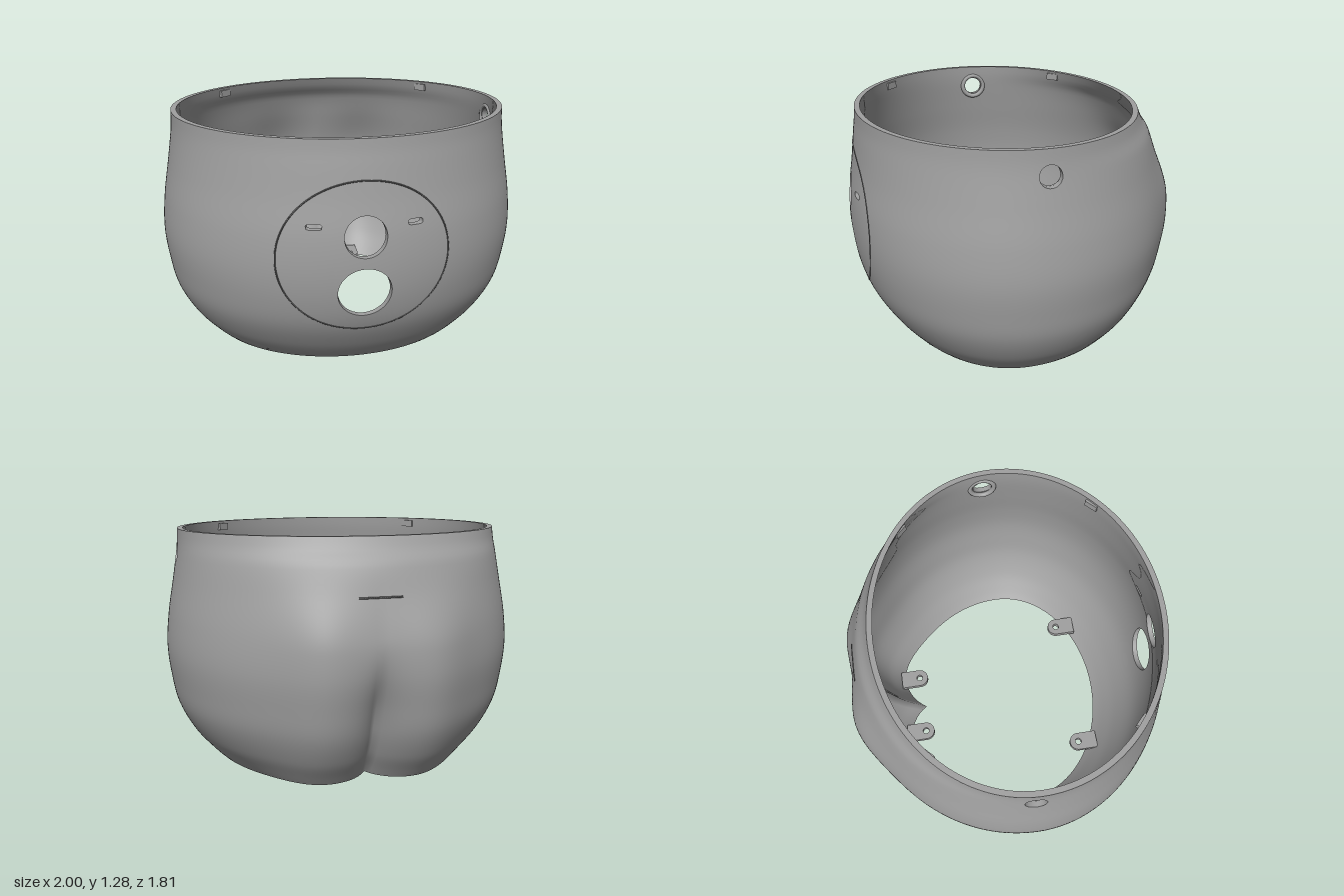
import * as THREE from 'three';

const H = 1.28, NU = 192, NV = 60, DU = Math.PI * 2 / NU, DV = H / NV, WALL = 0.03, CZ = 0.05;

// Body profile rows: height, half width, front z, back z
const PROFILE = [
  [0, 0.75, 0.63, -0.68], [0.04, 0.79, 0.67, -0.705], [0.15, 0.88, 0.755, -0.775],
  [0.3, 0.955, 0.84, -0.84], [0.45, 0.985, 0.885, -0.87], [0.62, 1.0, 0.905, -0.888],
  [0.8, 0.985, 0.9, -0.875], [1.0, 0.95, 0.87, -0.83], [1.15, 0.925, 0.85, -0.785],
  [1.22, 0.917, 0.84, -0.735], [1.28, 0.914, 0.835, -0.705],
];

// Smooth cubic interpolation of one profile column
function profile(y, k) {
  const n = PROFILE.length;
  let i = 0;
  while (i < n - 2 && y > PROFILE[i + 1][0]) i++;
  const slope = (j) => {
    const a = PROFILE[Math.max(j - 1, 0)], b = PROFILE[Math.min(j + 1, n - 1)];
    return (b[k] - a[k]) / (b[0] - a[0]);
  };
  const a = PROFILE[i], b = PROFILE[i + 1], h = b[0] - a[0], t = (y - a[0]) / h;
  const t2 = t * t, t3 = t2 * t;
  return (2 * t3 - 3 * t2 + 1) * a[k] + (t3 - 2 * t2 + t) * h * slope(i)
    + (3 * t2 - 2 * t3) * b[k] + (t3 - t2) * h * slope(i + 1);
}

// Point on the wall: angle from the front towards +x, height, inward offset
function wallPoint(th, y, inset) {
  const c = Math.cos(th), x = profile(y, 1) * Math.sin(th);
  let z = CZ + (c > 0 ? profile(y, 2) - CZ : CZ - profile(y, 3)) * c;
  if (c < 0) {
    // Two rear lobes with a sharp crease between them
    const ax = Math.abs(x);
    const lobe = 0.05 * (1 - THREE.MathUtils.smoothstep(y, 0.75, 1.15));
    const crease = 0.12 * (1 - THREE.MathUtils.smoothstep(y, 0.3, 0.8));
    z += crease * Math.exp(-ax / 0.085) - lobe * Math.exp(-(((ax - 0.3) / 0.2) ** 2));
  }
  const r = Math.hypot(x, z - CZ), s = 1 - inset / r;
  return [x * s, y, CZ + (z - CZ) * s];
}

// Openings: centre angle and height, half sizes, corner power (1 = ellipse)
const HOLES = [
  { th: 0, y: 0.815, a: 0.106, b: 0.105, p: 1 },
  { th: 0, y: 0.52, a: 0.136, b: 0.135, p: 1 },
  ...[-1, 1].map((s) => ({ th: s * 0.255, y: 0.87, a: 0.041, b: 0.015, p: 0.6 })),
  ...[-1, 1].map((s) => ({ th: s * (Math.PI / 2 + 0.045), y: 1.15, a: 0.068, b: 0.055, p: 1 })),
];
for (const h of HOLES) {
  h.c0 = Math.floor((h.th - h.a) / DU - 0.4); h.c1 = Math.ceil((h.th + h.a) / DU + 0.4);
  h.r0 = Math.floor((h.y - h.b) / DV - 0.4); h.r1 = Math.ceil((h.y + h.b) / DV + 0.4);
}

function makeGeometry(pos, index) {
  const g = new THREE.BufferGeometry();
  g.setAttribute('position', new THREE.Float32BufferAttribute(pos, 3));
  g.setIndex(index);
  g.computeVertexNormals();
  return g;
}

// One skin of the wall, with the openings cut and fitted into the grid
function skin(inset) {
  const pos = [], index = [], rings = [];
  const id = (u, v) => v * NU + ((u % NU) + NU) % NU;
  const quad = (a, b, c, d) => (inset ? index.push(a, c, b, a, d, c) : index.push(a, b, c, a, c, d));
  for (let v = 0; v <= NV; v++)
    for (let u = 0; u < NU; u++) pos.push(...wallPoint(u * DU, v * DV, inset));
  const inHole = (u, v) => HOLES.some((h) => v >= h.r0 && v < h.r1
    && [u, u - NU].some((w) => w >= h.c0 && w < h.c1));
  for (let v = 0; v < NV; v++)
    for (let u = 0; u < NU; u++)
      if (!inHole(u, v)) quad(id(u, v), id(u + 1, v), id(u + 1, v + 1), id(u, v + 1));
  for (const h of HOLES) {
    const edge = [];
    for (let u = h.c0; u < h.c1; u++) edge.push([u, h.r0]);
    for (let v = h.r0; v < h.r1; v++) edge.push([h.c1, v]);
    for (let u = h.c1; u > h.c0; u--) edge.push([u, h.r1]);
    for (let v = h.r1; v > h.r0; v--) edge.push([h.c0, v]);
    const n = edge.length, K = 3;
    let last = edge.map(([u, v]) => id(u, v));
    const soft = (t) => Math.sign(t) * Math.abs(t) ** h.p;
    for (let k = 1; k <= K; k++) {
      const now = edge.map(([u, v]) => {
        const th = u * DU, y = v * DV;
        const f = Math.atan2((y - h.y) / (h.r1 - h.r0) / DV, (th - h.th) / (h.c1 - h.c0) / DU);
        const ht = h.th + h.a * soft(Math.cos(f)), hy = h.y + h.b * soft(Math.sin(f));
        pos.push(...wallPoint(th + (ht - th) * k / K, y + (hy - y) * k / K, inset));
        return pos.length / 3 - 1;
      });
      for (let i = 0; i < n; i++) quad(last[i], last[(i + 1) % n], now[(i + 1) % n], now[i]);
      last = now;
    }
    rings.push(last.map((i) => pos.slice(i * 3, i * 3 + 3)));
  }
  return { geometry: makeGeometry(pos, index), rings };
}

// Closed band between two loops of points
function band(a, b) {
  const n = a.length, index = [];
  for (let i = 0; i < n; i++) {
    const j = (i + 1) % n;
    index.push(i, j, n + j, i, n + j, n + i);
  }
  return makeGeometry([...a, ...b].flat(), index);
}

export function createModel() {
  const root = new THREE.Group();
  root.name = 'shellHousing';
  const grey = new THREE.MeshStandardMaterial({ color: 0xa0a0a0 });
  grey.name = 'grey';
  const seamGrey = new THREE.MeshStandardMaterial({ color: 0x606060 });
  seamGrey.name = 'seamGrey';
  const add = (name, geometry, material = grey) => {
    const m = new THREE.Mesh(geometry, material);
    m.name = name;
    root.add(m);
    return m;
  };

  // Hollow wall, its rims and the edges of its openings
  const outer = skin(0), inner = skin(WALL);
  add('outerWall', outer.geometry);
  add('innerWall', inner.geometry);
  const loop = (y, inset) => Array.from({ length: NU }, (_, u) => wallPoint(u * DU, y, inset));
  add('topRim', band(loop(H, 0), loop(H, WALL)));
  add('bottomRim', band(loop(0, WALL), loop(0, 0)));
  outer.rings.forEach((ring, i) => add('openingEdge', band(ring, inner.rings[i])));

  // Round seam of the front panel
  const seam = Array.from({ length: 48 }, (_, i) => {
    const t = i / 48 * Math.PI * 2, y = 0.69 + 0.395 * Math.sin(t);
    return new THREE.Vector3(...wallPoint(Math.asin(0.43 * Math.cos(t) / profile(y, 1)), y, 0.001));
  });
  add('panelSeam', new THREE.TubeGeometry(new THREE.CatmullRomCurve3(seam, true), 96, 0.004, 5, true), seamGrey);

  // Thin slit across the back
  const slit = Array.from({ length: 9 }, (_, i) =>
    new THREE.Vector3(...wallPoint(Math.PI + (i / 4 - 1) * 0.115, 1.0, 0.001)));
  add('rearSlit', new THREE.TubeGeometry(new THREE.CatmullRomCurve3(slit), 24, 0.005, 5), seamGrey);

  // Screw tabs around the bottom opening
  const tab = new THREE.Shape();
  tab.moveTo(-0.055, -0.12);
  tab.lineTo(0.055, -0.12);
  tab.absarc(0, 0, 0.055, 0, Math.PI, false);
  tab.closePath();
  tab.holes.push(new THREE.Path().absarc(0, 0, 0.02, 0, Math.PI * 2, true));
  const tabGeometry = new THREE.ExtrudeGeometry(tab, { depth: 0.035, bevelEnabled: false, curveSegments: 16 });
  tabGeometry.rotateX(-Math.PI / 2);
  const bossGeometry = new THREE.TorusGeometry(0.03, 0.009, 8, 24).rotateX(Math.PI / 2);
  for (const s of [-1, 1])
    for (const [name, x, z, turn] of [['frontTab', 0.415, 0.43, 0], ['rearTab', 0.187, -0.555, Math.PI]]) {
      const m = add(name, tabGeometry);
      m.position.set(s * x, 0.035, z);
      m.rotation.y = turn;
      add('tabBoss', bossGeometry).position.set(s * x, 0.035, z);
    }

  // Grommets behind the side openings
  for (const s of [-1, 1]) {
    const g = add('sideGrommet', new THREE.TorusGeometry(0.069, 0.014, 10, 32));
    g.position.set(s * 0.892, 1.15, 0.01);
    g.rotation.y = Math.PI / 2;
  }

  // Small locking clips inside the top rim
  for (const th of [0.25, 0.75, 1.25, 1.75].map((k) => k * Math.PI)) {
    const clip = add('rimClip', new THREE.BoxGeometry(0.075, 0.04, 0.02));
    clip.position.set(...wallPoint(th, 1.245, WALL + 0.004));
    clip.rotation.y = th;
  }
  return root;
}
